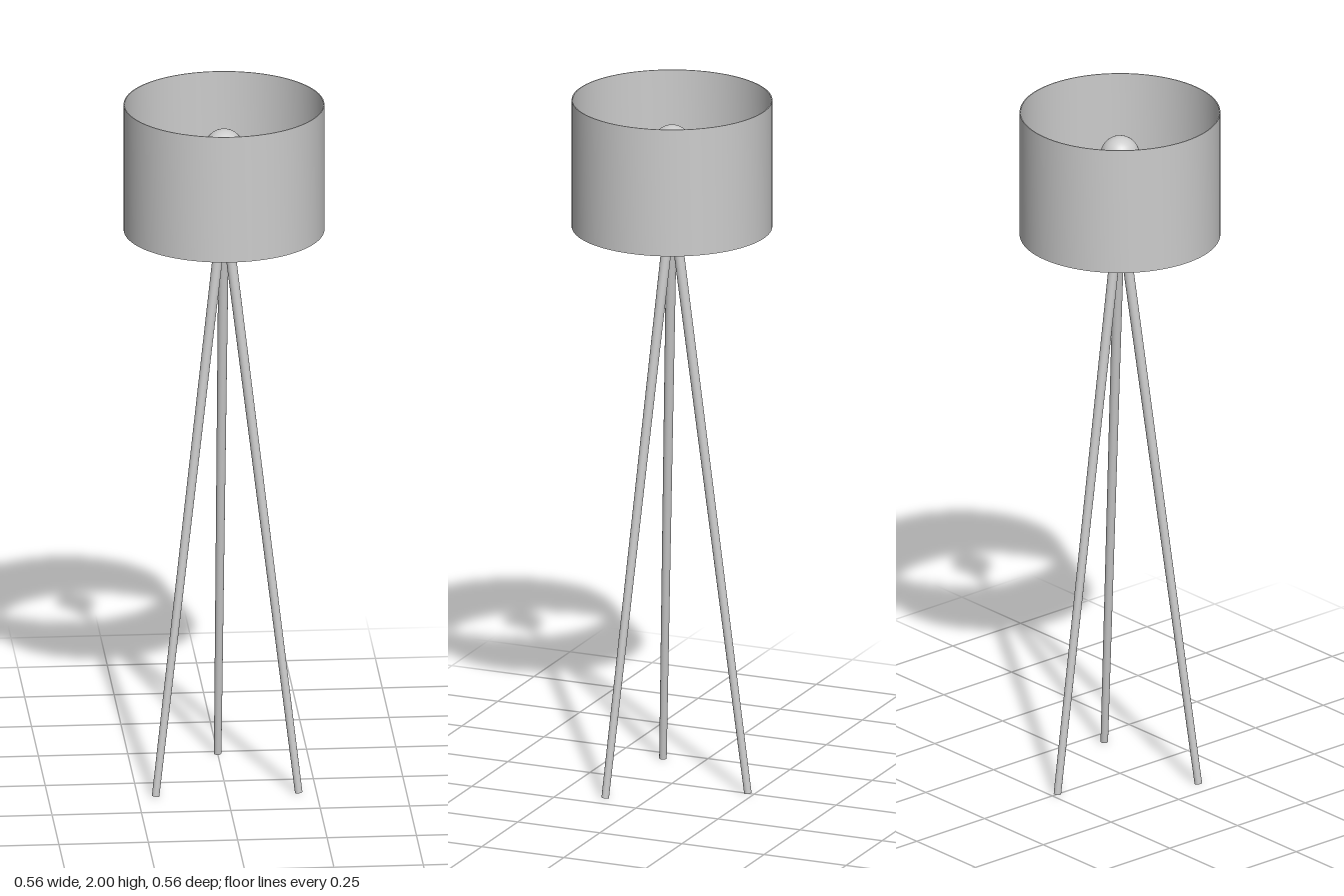
import * as THREE from 'three';
import { toCreasedNormals } from 'three/addons/utils/BufferGeometryUtils.js';

const UP = new THREE.Vector3(0, 1, 0);

export function createModel() {
  const model = new THREE.Group();
  model.name = 'tripodFloorLamp';
  const grey = new THREE.MeshStandardMaterial({ color: 0xcccccc });
  grey.name = 'light grey';

  const add = (name, geometry) => {
    const mesh = new THREE.Mesh(geometry, grey);
    mesh.name = name;
    model.add(mesh);
    return mesh;
  };

  // Solid of revolution with crisp edges, from [radius, height] pairs
  const turned = (name, profile, segments) => add(name, toCreasedNormals(
    new THREE.LatheGeometry(profile.map(([r, y]) => new THREE.Vector2(r, y)), segments), 0.6));

  // Round rod between two points, with its own radius at each end
  const rod = (name, a, b, ra, rb, sides) => {
    const dir = b.clone().sub(a);
    const mesh = add(name, new THREE.CylinderGeometry(rb, ra, dir.length(), sides));
    mesh.position.copy(a).add(b).multiplyScalar(0.5);
    mesh.quaternion.setFromUnitVectors(UP, dir.normalize());
  };

  // Point at a radius and angle around the lamp's axis (angle 0 is +z)
  const polar = (r, angle, y) => new THREE.Vector3(r * Math.sin(angle), y, r * Math.cos(angle));

  // Thin drum shade, open at both ends
  turned('shade', [[0.28, 1.63], [0.28, 2], [0.277, 2], [0.277, 1.63], [0.28, 1.63]], 96);

  // Hub, stem and bulb socket
  turned('hub', [[0, 1.57], [0.028, 1.57], [0.028, 1.645], [0, 1.645]], 32);
  turned('stem', [[0.01, 1.64], [0.01, 1.78]], 20);
  turned('socket', [[0, 1.77], [0.022, 1.77], [0.022, 1.83], [0, 1.83]], 24);

  // Globe bulb
  add('bulb', new THREE.SphereGeometry(0.055, 32, 20)).position.y = 1.87;

  // Three spokes carry the shade, three tapered legs stand between them
  for (let i = 0; i < 3; i++) {
    const angle = (i * 2 * Math.PI) / 3;
    rod('shadeSpoke', polar(0.005, angle, 1.638), polar(0.278, angle, 1.638), 0.003, 0.003, 10);
    const legAngle = angle + Math.PI;
    rod('leg', polar(0.231, legAngle, 0.002), polar(0.015, legAngle, 1.6), 0.0105, 0.0145, 20);
  }
  return model;
}
